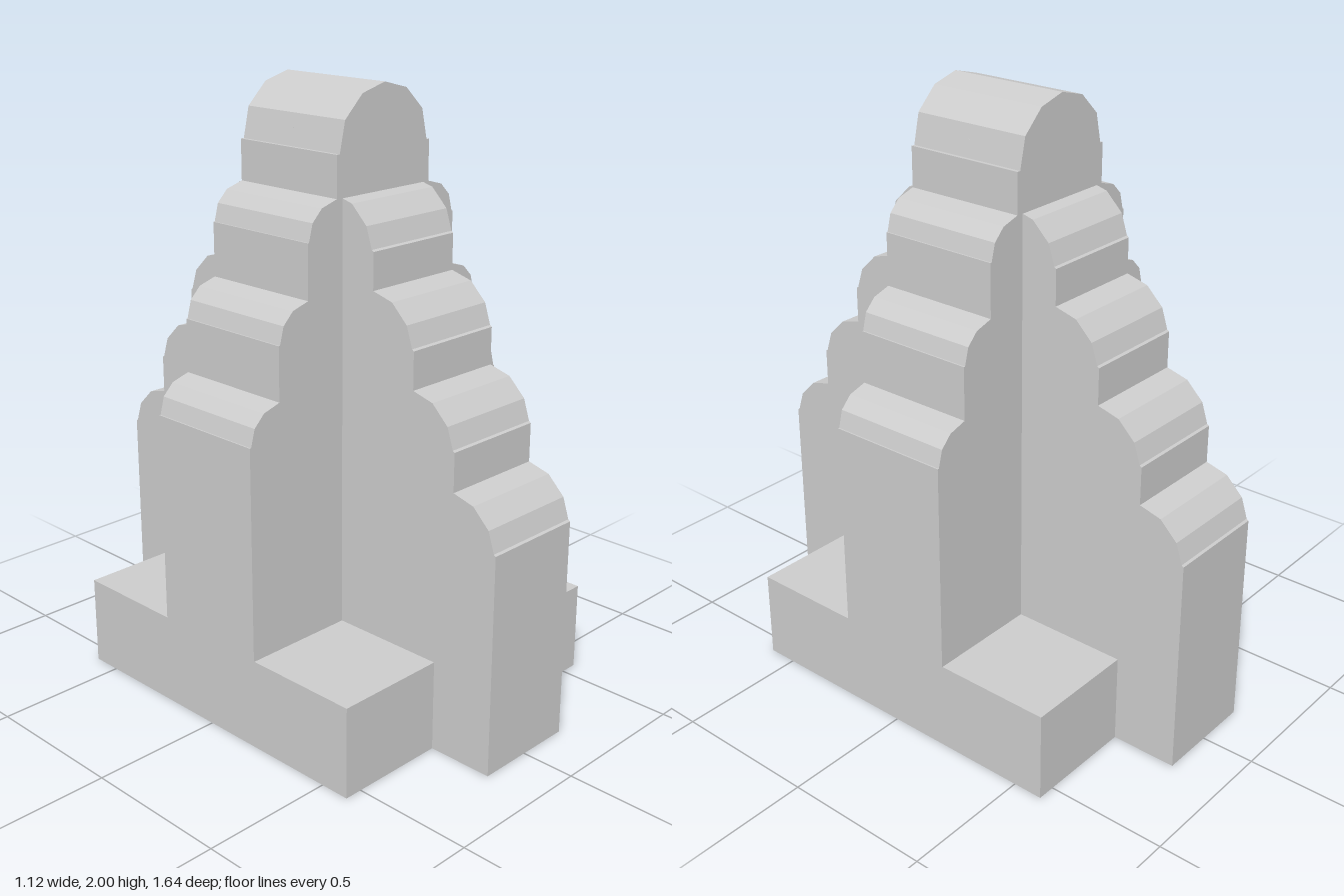
import * as THREE from 'three';

const stone = new THREE.MeshStandardMaterial({ color: 0xcccccc, side: THREE.DoubleSide });
stone.name = 'pale stone';

const BASE_X = 0.56, BASE_Z = 0.6, BASE_H = 0.3;

// Right half of a stepped outline: a faceted dome followed by rounded shoulders.
function steppedHalf(dome, start, stepWidth, drops, shoulder, foot) {
  const pts = dome.map(p => [...p]);
  let [x, y] = start;
  pts.push([x, y]);
  drops.forEach((drop, i) => {
    for (const [dx, dy] of shoulder) pts.push([x + dx, y - dy]);
    x += stepWidth;
    y = i === drops.length - 1 ? foot : y - drop;
    pts.push([x, y]);
  });
  return pts;
}

// Symmetric slab: roof strip along the outline plus two side caps, open underneath.
function slab(name, half, depth, notch) {
  const left = half.slice(1).reverse().map(([x, y]) => [-x, y]);
  const line = [...left, ...half];
  const pos = [];
  for (let i = 0; i < line.length - 1; i++) {
    const [x0, y0] = line[i], [x1, y1] = line[i + 1];
    pos.push(x0, y0, depth, x1, y1, depth, x1, y1, -depth);
    pos.push(x0, y0, depth, x1, y1, -depth, x0, y0, -depth);
  }
  const roofGeo = new THREE.BufferGeometry();
  roofGeo.setAttribute('position', new THREE.Float32BufferAttribute(pos, 3));
  roofGeo.computeVertexNormals();

  const group = new THREE.Group();
  group.name = name;
  const roof = new THREE.Mesh(roofGeo, stone);
  roof.name = name + 'Roof';
  group.add(roof);

  const outline = [...line, ...notch].map(([x, y]) => new THREE.Vector2(x, y));
  const capGeo = new THREE.ShapeGeometry(new THREE.Shape(outline));
  for (const side of [1, -1]) {
    const cap = new THREE.Mesh(capGeo, stone);
    cap.name = name + (side > 0 ? 'FrontFace' : 'BackFace');
    cap.position.z = side * depth;
    if (side < 0) cap.rotation.y = Math.PI;
    group.add(cap);
  }
  return group;
}

export function createModel() {
  const model = new THREE.Group();
  model.name = 'steppedTower';

  // Hollow plinth with no floor
  const baseGeo = new THREE.BoxGeometry(BASE_X * 2, BASE_H, BASE_Z * 2);
  const faces = Array.from(baseGeo.index.array);
  faces.splice(18, 6);
  baseGeo.setIndex(faces);
  baseGeo.clearGroups();
  const base = new THREE.Mesh(baseGeo, stone);
  base.name = 'plinth';
  base.position.y = BASE_H / 2;
  model.add(base);

  // Tall crosswise slab carrying the domed crown
  const crossHalf = steppedHalf(
    [[0, 2], [0.095, 1.975], [0.168, 1.905], [0.19, 1.808], [0.202, 1.808]],
    [0.202, 1.678], 0.12, [0.285, 0.285, 0],
    [[0.062, 0.018], [0.1, 0.056], [0.115, 0.112], [0.12, 0.112]], BASE_H);
  model.add(slab('crossSlab', crossHalf, 0.207, []));

  // Front-to-back slab whose outer legs reach the ground
  const longHalf = steppedHalf(
    [[0, 1.862], [0.075, 1.843], [0.134, 1.79], [0.16, 1.72], [0.17, 1.72]],
    [0.17, 1.687], 0.163, [0.267, 0.27, 0.275, 0],
    [[0.075, 0.02], [0.134, 0.078], [0.156, 0.145], [0.163, 0.15]], 0);
  const long = slab('longSlab', longHalf, 0.178,
    [[BASE_Z, 0], [BASE_Z, BASE_H], [-BASE_Z, BASE_H], [-BASE_Z, 0]]);
  long.rotation.y = Math.PI / 2;
  model.add(long);

  return model;
}
